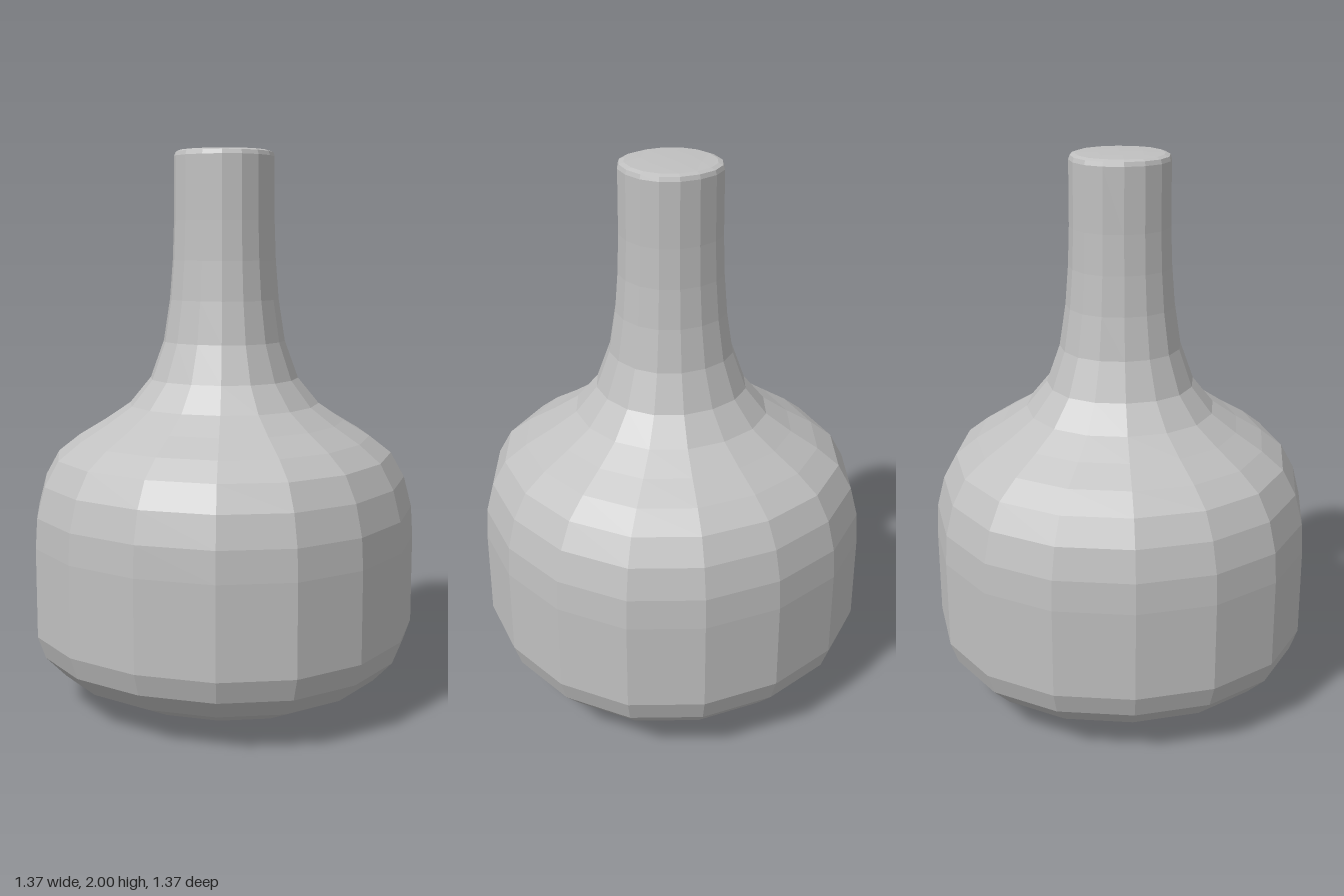
import * as THREE from 'three';

const STEP = Math.PI / 8; // sixteen sides

// Slightly squarish ring: diagonals bulge a little beyond the axis points.
function ringPoint(angle, radius, bulge = 0.03) {
  const a = angle + 0.013 * Math.sin(4 * angle);
  const r = radius * (1 + bulge * Math.sin(2 * angle) ** 2);
  return [r * Math.cos(a), r * Math.sin(a)];
}

// Faceted normals without shared vertices
function faceted(geometry) {
  const g = geometry.toNonIndexed();
  g.computeVertexNormals();
  return g;
}

// Revolved wall with squarish rings
function wall(profile) {
  const g = new THREE.LatheGeometry(profile.map(([r, y]) => new THREE.Vector2(r, y)), 16);
  const p = g.attributes.position;
  for (let i = 0; i < p.count; i++) {
    const x = p.getX(i), z = p.getZ(i);
    const angle = Math.round(Math.atan2(z, x) / STEP) * STEP;
    const [nx, nz] = ringPoint(angle, Math.hypot(x, z));
    p.setXYZ(i, nx, p.getY(i), nz);
  }
  return faceted(g);
}

// 4 x 4 quad grid whose border meets a sixteen-sided ring
function gridCap(radius, inner, yRim, yInner, yCentre, facing) {
  const g = new THREE.PlaneGeometry(2, 2, 4, 4).rotateX(-facing * Math.PI / 2);
  const p = g.attributes.position;
  for (let i = 0; i < p.count; i++) {
    const x = p.getX(i), z = p.getZ(i);
    const m = Math.max(Math.abs(x), Math.abs(z));
    const angle = Math.round(Math.atan2(z, x) / STEP) * STEP;
    if (m < 0.1) p.setXYZ(i, 0, yCentre, 0);
    else if (m > 0.9) {
      const [nx, nz] = ringPoint(angle, radius);
      p.setXYZ(i, nx, yRim, nz);
    } else {
      const [nx, nz] = ringPoint(angle, inner, 0.3);
      const diagonal = Math.sin(2 * angle) ** 2;
      p.setXYZ(i, nx, yInner + diagonal * 0.3 * (yRim - yInner), nz);
    }
  }
  return faceted(g);
}

export function createModel() {
  const group = new THREE.Group();
  group.name = 'bottle';
  const grey = new THREE.MeshStandardMaterial({ color: 0xc0c0c0 });
  grey.name = 'light grey';

  const add = (name, geometry) => {
    const mesh = new THREE.Mesh(geometry, grey);
    mesh.name = name;
    group.add(mesh);
  };

  // Rounded belly up to the shoulder
  add('body', wall([
    [0.46, 0.055], [0.59, 0.12], [0.66, 0.195], [0.687, 0.275], [0.687, 0.6],
    [0.68, 0.71], [0.652, 0.82], [0.603, 0.91], [0.525, 0.972], [0.43, 1.03], [0.34, 1.092],
  ]));
  // Flared neck
  add('neck', wall([
    [0.34, 1.092], [0.265, 1.185], [0.217, 1.32], [0.194, 1.47], [0.183, 1.61],
    [0.178, 1.75], [0.177, 1.975], [0.172, 1.99], [0.155, 1.996],
  ]));
  add('base', gridCap(0.46, 0.25, 0.055, 0.018, 0, -1));
  add('topCap', gridCap(0.155, 0.08, 1.996, 1.999, 2, 1));
  return group;
}
